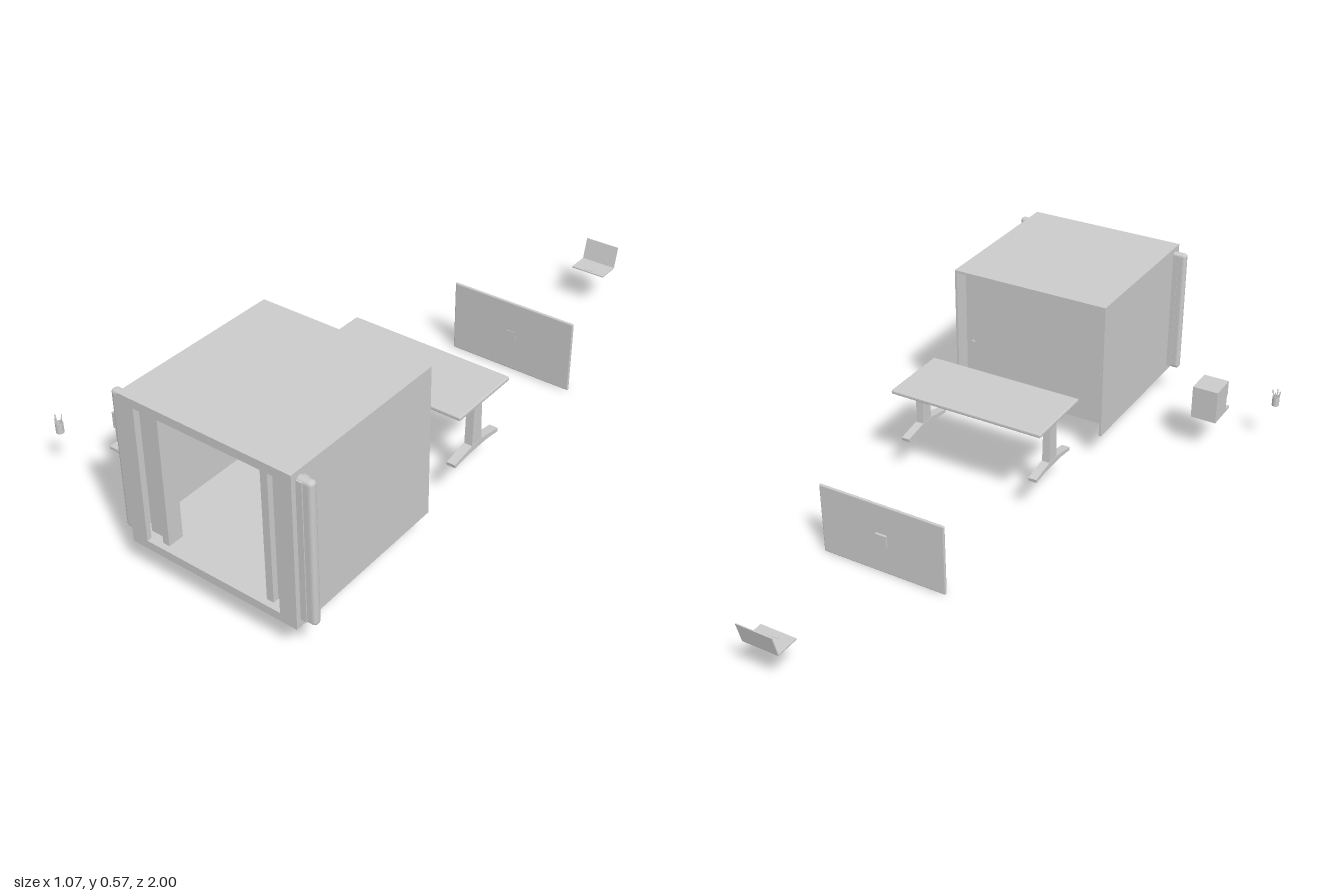
import * as THREE from 'three';
import { RoundedBoxGeometry } from 'three/addons/geometries/RoundedBoxGeometry.js';

const grey = new THREE.MeshStandardMaterial({ color: 0xcccccc, flatShading: true, side: THREE.DoubleSide });

function add(parent, name, geometry) {
  const mesh = new THREE.Mesh(geometry, grey);
  mesh.name = name;
  parent.add(mesh);
  return mesh;
}

// Box given by its low and high limits on each axis
function box(parent, name, [x0, x1], [y0, y1], [z0, z1]) {
  const mesh = add(parent, name, new THREE.BoxGeometry(x1 - x0, y1 - y0, z1 - z0));
  mesh.position.set((x0 + x1) / 2, (y0 + y1) / 2, (z0 + z1) / 2);
  return mesh;
}

function group(parent, name, x = 0, y = 0, z = 0) {
  const g = new THREE.Group();
  g.name = name;
  g.position.set(x, y, z);
  parent.add(g);
  return g;
}

function rectangle(Type, x0, y0, x1, y1) {
  const r = new Type();
  r.moveTo(x0, y0).lineTo(x1, y0).lineTo(x1, y1).lineTo(x0, y1).closePath();
  return r;
}

// Open-fronted housing with a recessed back panel, centred on its own x = 0
function makeHousing(root) {
  const g = group(root, 'housing', 0.211);
  const w = 0.277, y0 = 0.097, y1 = 0.568;

  const face = rectangle(THREE.Shape, -w, y0, w, y1);
  face.holes.push(rectangle(THREE.Path, -0.224, 0.123, 0.224, 0.542));
  const frame = add(g, 'frontFrame', new THREE.ExtrudeGeometry(face, { depth: 0.015, bevelEnabled: false }));
  frame.position.z = 0.985;

  box(g, 'roof', [-w, w], [0.56, y1], [0.445, 0.985]);
  box(g, 'floor', [-w, w], [0.103, 0.121], [0.505, 0.985]);
  box(g, 'backPanel', [-w, w], [0.115, 0.56], [0.5, 0.508]);
  box(g, 'backRail', [-0.26, 0.26], [0.281, 0.286], [0.508, 0.512]);

  for (const s of [-1, 1]) {
    const wall = box(g, 'sideWall', [-0.004, 0.004], [y0, y1], [0.445, 0.985]);
    wall.position.x = s * (w - 0.004);

    // Mounting rails just inside the opening
    const flange = box(g, 'railFlange', [-0.03, 0.03], [0.121, 0.56], [0.955, 0.962]);
    flange.position.x = s * 0.215;
    const post = box(g, 'railPost', [-0.011, 0.011], [0.121, 0.536], [0.93, 0.98]);
    post.position.x = s * 0.176;

    // Tall rounded handle and its inner strip
    const handle = add(g, 'sideHandle', new RoundedBoxGeometry(0.056, 0.438, 0.026, 3, 0.011));
    handle.position.set(s * 0.293, 0.333, 0.969);
    const strip = box(g, 'handleStrip', [-0.009, 0.009], [0.12, 0.546], [0.954, 0.985]);
    strip.position.x = s * 0.286;

    // Small fastener on the back panel
    const screw = add(g, 'backFastener', new THREE.CylinderGeometry(0.008, 0.008, 0.006, 12));
    screw.rotation.x = Math.PI / 2;
    screw.position.set(s * 0.245, 0.285, 0.498);
  }
}

// Table with two tapered columns on arched feet
function makeTable(root) {
  const g = group(root, 'table', 0.211, 0, 0.168);
  const top = add(g, 'tableTop', new RoundedBoxGeometry(0.54, 0.013, 0.25, 2, 0.004));
  top.position.y = 0.311;

  const side = (points, width) => {
    const shape = new THREE.Shape(points.map(([z, y]) => new THREE.Vector2(z, y)));
    const geo = new THREE.ExtrudeGeometry(shape, { depth: width, bevelEnabled: false });
    geo.translate(0, 0, -width / 2);
    geo.rotateY(-Math.PI / 2);
    return geo;
  };
  const foot = [[-0.108, 0.128], [-0.05, 0.135], [0.05, 0.135], [0.108, 0.128], [0.11, 0.139],
    [0.026, 0.154], [-0.026, 0.154], [-0.11, 0.139]];
  const column = [[-0.024, 0.15], [0.024, 0.15], [0.018, 0.305], [-0.018, 0.305]];
  for (const s of [-1, 1]) {
    const leg = group(g, 'tableLeg', s * 0.235);
    add(leg, 'legFoot', side(foot, 0.028));
    add(leg, 'legColumn', side(column, 0.026));
    box(leg, 'legBracket', [-0.016, 0.016], [0.3, 0.306], [-0.09, 0.09]);
  }
}

// Flat screen with a square mount
function makeScreen(root) {
  const g = group(root, 'screen', 0.214, 0.122, -0.411);
  add(g, 'screenPanel', new RoundedBoxGeometry(0.434, 0.244, 0.009, 2, 0.004));
  box(g, 'screenMount', [-0.019, 0.019], [-0.02, 0.02], [-0.012, 0]);
  box(g, 'screenBadgePlate', [-0.017, 0.017], [-0.019, 0.019], [0, 0.006]);
}

// Open laptop
function makeLaptop(root) {
  const g = group(root, 'laptop', 0.211, 0.13, -0.98);
  box(g, 'laptopBase', [-0.06, 0.06], [-0.002, 0.002], [0, 0.077]);
  box(g, 'touchpad', [-0.018, 0.018], [0.002, 0.003], [0.05, 0.07]);
  const lid = box(g, 'laptopLid', [-0.06, 0.06], [-0.037, 0.037], [-0.0015, 0.0015]);
  lid.position.set(0, 0.036, -0.009);
  lid.rotation.x = -0.245;
}

// Small drinks machine with spout and drip tray
function makeMachine(root) {
  const g = group(root, 'drinksMachine', -0.333, 0, 0);
  box(g, 'machineBody', [-0.044, 0.044], [0.127, 0.187], [0.665, 0.752]);
  box(g, 'machineHead', [-0.044, 0.044], [0.187, 0.24], [0.665, 0.758]);
  box(g, 'spout', [-0.011, 0.011], [0.175, 0.205], [0.75, 0.772]);
  box(g, 'dripTray', [-0.044, 0.044], [0.125, 0.135], [0.665, 0.78]);
}

// Cup holding a few leaning pens
function makePenCup(root) {
  const g = group(root, 'penCup', -0.52, 0.152, 0.832);
  const profile = [[0, 0], [0.012, 0], [0.012, 0.034], [0.0105, 0.034], [0.0105, 0.003], [0, 0.003]];
  add(g, 'cup', new THREE.LatheGeometry(profile.map(([r, y]) => new THREE.Vector2(r, y)), 16));
  for (let i = 0; i < 4; i++) {
    const holder = group(g, 'penHolder');
    holder.rotation.y = i * Math.PI / 2;
    const pen = add(holder, 'pen', new THREE.CylinderGeometry(0.002, 0.002, 0.05, 8));
    pen.position.set(0.009, 0.03, 0);
    pen.rotation.z = -0.17;
  }
}

export function createModel() {
  const root = new THREE.Group();
  root.name = 'officeEquipmentSet';
  makeHousing(root);
  makeTable(root);
  makeScreen(root);
  makeLaptop(root);
  makeMachine(root);
  makePenCup(root);
  return root;
}
